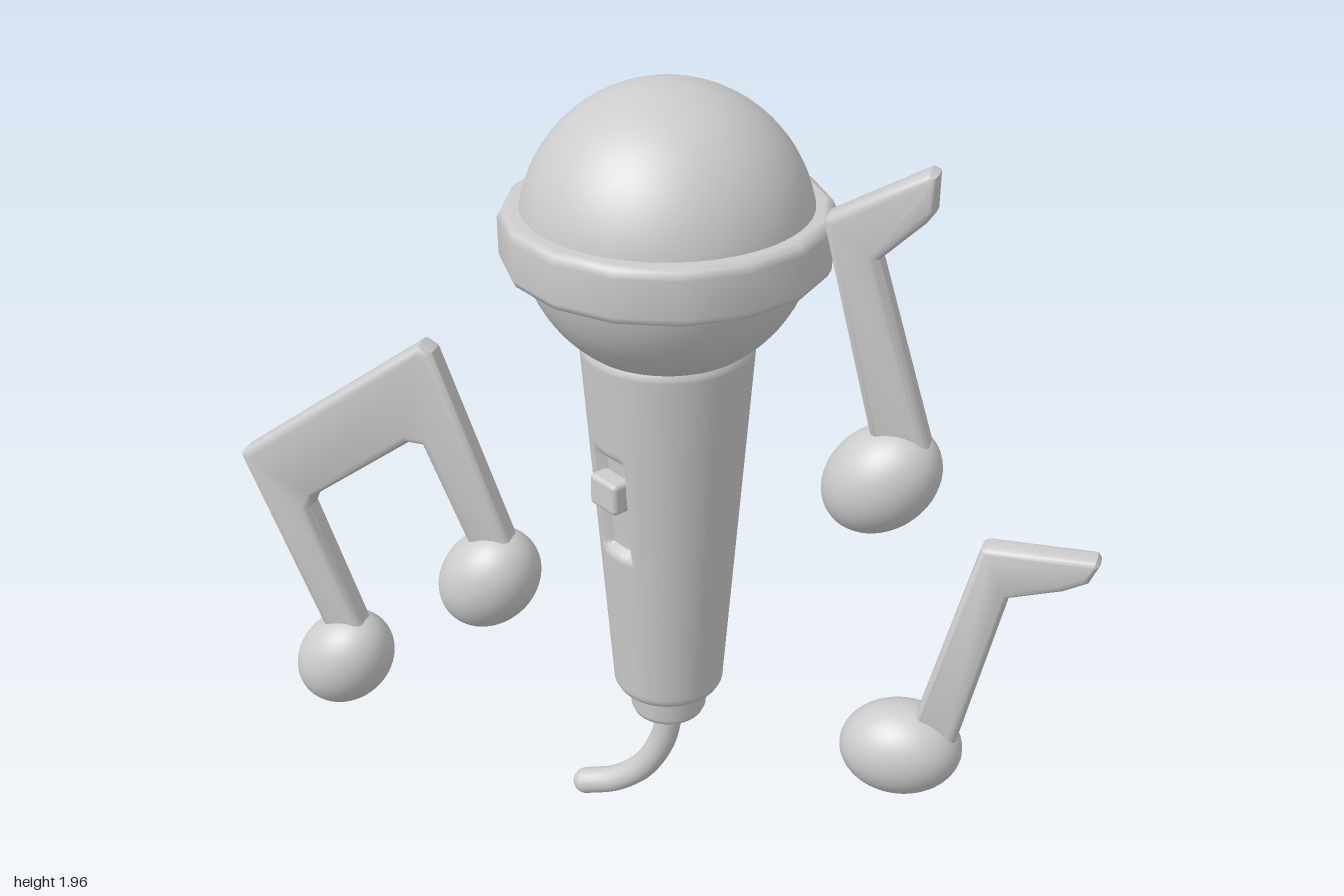
import * as THREE from 'three';
import { toCreasedNormals } from 'three/addons/utils/BufferGeometryUtils.js';
import { RoundedBoxGeometry } from 'three/addons/geometries/RoundedBoxGeometry.js';

const grey = new THREE.MeshStandardMaterial({ color: 0xcccccc, roughness: 0.7 });
const AXIS_X = -0.02; // microphone axis
const NOTE_Z = 0.228; // plane of the music notes
const SWITCH_ANGLE = -0.545; // direction of the switch around the handle

function part(name, geometry, x = 0, y = 0, z = 0) {
  const mesh = new THREE.Mesh(geometry, grey);
  mesh.name = name;
  mesh.position.set(x, y, z);
  return mesh;
}

const lathe = (points, segments) =>
  new THREE.LatheGeometry(points.map(([r, y]) => new THREE.Vector2(r, y)), segments);

// Tapered handle with a shallow slot pressed into its side
function handleGeometry() {
  const profile = [[0, 0.43], [0.115, 0.43], [0.128, 0.434], [0.135, 0.447]];
  const rows = 90;
  for (let i = 1; i <= rows; i++) {
    const t = i / rows;
    profile.push([0.135 + 0.065 * t, 0.447 + 0.923 * t]);
  }
  profile.push([0.19, 1.385], [0.15, 1.39]);
  const geo = lathe(profile, 128);
  geo.rotateY(SWITCH_ANGLE + Math.PI); // seam at the back
  const p = geo.attributes.position;
  for (let i = 0; i < p.count; i++) {
    const x = p.getX(i), y = p.getY(i), z = p.getZ(i);
    const r = Math.hypot(x, z);
    const side = (Math.atan2(x, z) - SWITCH_ANGLE) * r;
    const inset = Math.min(0.055 - Math.abs(side), 0.14 - Math.abs(y - 1.0));
    const depth = 0.025 * THREE.MathUtils.smoothstep(inset, 0, 0.02);
    if (depth > 0) p.setXYZ(i, x * (r - depth) / r, y, z * (r - depth) / r);
  }
  return toCreasedNormals(geo, 0.8);
}

function microphone() {
  const mic = new THREE.Group();
  mic.name = 'microphone';
  mic.position.x = AXIS_X;

  mic.add(part('head', new THREE.SphereGeometry(0.326, 64, 40), 0, 1.64));

  // Sixteen-sided band with rounded rims
  mic.add(part('headBand', lathe([
    [0.29, 1.57], [0.345, 1.57], [0.36, 1.576], [0.368, 1.592],
    [0.368, 1.678], [0.36, 1.694], [0.345, 1.7], [0.29, 1.7],
  ], 16)));

  mic.add(part('handle', handleGeometry()));

  mic.add(part('collar', lathe([
    [0, 0.343], [0.075, 0.343], [0.088, 0.348], [0.094, 0.362], [0.096, 0.435],
  ], 40)));

  const button = part('switchButton', new RoundedBoxGeometry(0.092, 0.08, 0.06, 3, 0.012),
    Math.sin(SWITCH_ANGLE) * 0.17, 1.04, Math.cos(SWITCH_ANGLE) * 0.17);
  button.rotation.y = SWITCH_ANGLE;
  mic.add(button);

  // Cable curling away to one side, with a rounded end
  const path = new THREE.CatmullRomCurve3([
    [0, 0.39], [0, 0.31], [-0.018, 0.225], [-0.07, 0.13], [-0.145, 0.068], [-0.23, 0.037],
  ].map(([x, y]) => new THREE.Vector3(x, y, 0)));
  mic.add(part('cable', new THREE.TubeGeometry(path, 40, 0.034, 20)));
  mic.add(part('cableEnd', new THREE.SphereGeometry(0.034, 20, 14), -0.23, 0.037));
  return mic;
}

// Flat stem outline with soft edges plus one or more tilted oval heads
function note(name, outline, heads) {
  const group = new THREE.Group();
  group.name = name;
  group.position.z = NOTE_Z;
  const shape = new THREE.Shape(outline.map(([x, y]) => new THREE.Vector2(x, y)));
  const bevel = 0.02, thickness = 0.066;
  const stem = new THREE.ExtrudeGeometry(shape, {
    depth: thickness - 2 * bevel, bevelThickness: bevel,
    bevelSize: bevel, bevelOffset: -bevel, bevelSegments: 4,
  });
  stem.translate(0, 0, bevel - thickness / 2);
  group.add(part('noteStem', toCreasedNormals(stem, 0.7)));
  for (const [x, y, tilt] of heads) {
    const head = part('noteHead', new THREE.SphereGeometry(1, 40, 28), x, y);
    head.scale.set(0.141, 0.111, 0.108);
    head.rotation.z = tilt;
    group.add(head);
  }
  return group;
}

export function createModel() {
  const model = new THREE.Group();
  model.name = 'microphoneWithNotes';
  model.add(microphone());

  model.add(note('beamedNote', [
    [-1.003, 1.04], [-0.82, 0.55], [-0.715, 0.56], [-0.835, 0.92], [-0.82, 0.955],
    [-0.56, 1.145], [-0.525, 1.145], [-0.415, 0.87], [-0.305, 0.87],
    [-0.485, 1.385], [-0.515, 1.402], [-0.99, 1.055],
  ].reverse(), [[-0.795, 0.482, 0.84], [-0.388, 0.802, 0.87]]));

  model.add(note('upperNote', [
    [0.515, 1.29], [0.383, 1.805], [0.39, 1.82], [0.585, 1.932], [0.602, 1.925],
    [0.602, 1.85], [0.585, 1.825], [0.5, 1.74], [0.64, 1.29],
  ].reverse(), [[0.527, 1.238, 0.785]]));

  model.add(note('lowerNote', [
    [0.63, 0.59], [0.752, 1.115], [0.765, 1.122], [0.99, 1.132], [0.998, 1.12],
    [0.98, 1.075], [0.93, 1.045], [0.82, 1.005], [0.735, 0.58],
  ].reverse(), [[0.612, 0.543, 0.15]]));
  return model;
}
